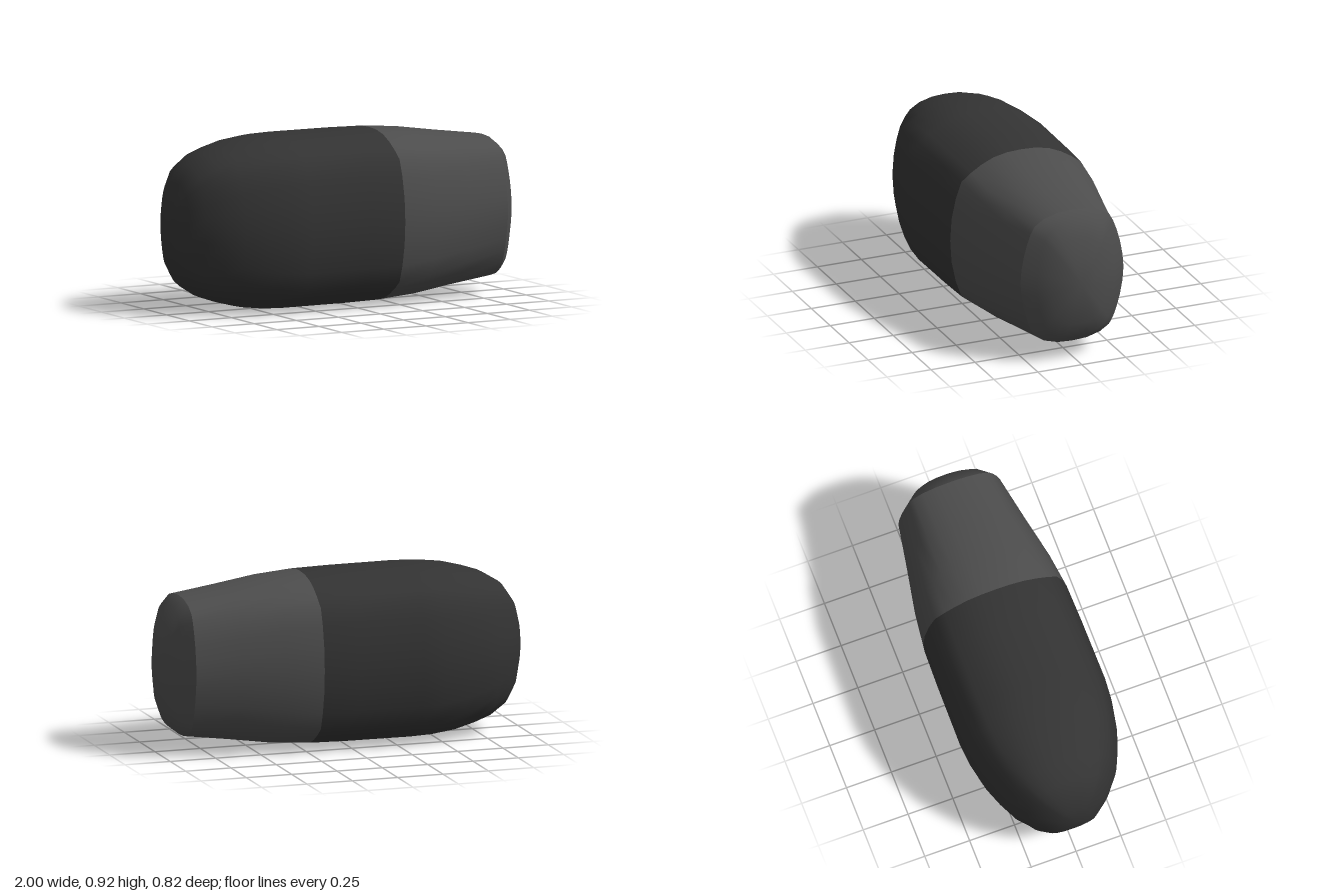
import * as THREE from 'three';

const SIDES = 32, CENTRE_Y = 0.462;

// Quarter outlines [z, y] from top to side, normalised to half sizes of 1
const FULL = [[0, 1], [0.2, 0.992], [0.39, 0.957], [0.56, 0.89], [0.705, 0.81],
  [0.84, 0.717], [0.92, 0.52], [0.98, 0.27], [1, 0]];
const END = [[0, 1], [0.28, 0.987], [0.54, 0.93], [0.72, 0.837], [0.8, 0.73],
  [0.87, 0.58], [0.93, 0.41], [0.98, 0.2], [1, 0]];

// Sections: [x, half height, half depth, blend from FULL to END outline]
const SHELL = [
  [-1, 0, 0, 1], [-0.987, 0.125, 0.085, 1], [-0.95, 0.24, 0.16, 1], [-0.89, 0.325, 0.23, 1],
  [-0.8, 0.38, 0.3, 0.7], [-0.71, 0.41, 0.34, 0.45], [-0.6, 0.438, 0.378, 0.25],
  [-0.47, 0.454, 0.403, 0.1], [-0.35, 0.458, 0.412, 0], [0, 0.457, 0.409, 0],
  [0.2, 0.453, 0.404, 0], [0.4, 0.437, 0.38, 0.25], [0.63, 0.403, 0.336, 0.6], [0.87, 0.371, 0.293, 1]];
const SPLIT = 10; // section where the body meets the sleeve
const CAP = [[0.87, 0.371, 0.293, 1], [0.925, 0.328, 0.224, 1], [0.963, 0.24, 0.16, 1],
  [0.99, 0.125, 0.085, 1], [1, 0, 0, 1]];

function ring([x, hy, hz, blend]) {
  const out = [];
  for (let k = 0; k < SIDES; k++) {
    const q = Math.floor(k / 8), m = k % 8, t = q % 2 ? 8 - m : m;
    const z = THREE.MathUtils.lerp(FULL[t][0], END[t][0], blend) * hz;
    const y = THREE.MathUtils.lerp(FULL[t][1], END[t][1], blend) * hy;
    out.push(x, CENTRE_Y + (q === 0 || q === 3 ? y : -y), q < 2 ? z : -z);
  }
  return out;
}

function ringIndex(count) {
  const index = [];
  for (let i = 0; i < count - 1; i++) {
    for (let j = 0; j < SIDES; j++) {
      const a = i * SIDES + j, b = i * SIDES + (j + 1) % SIDES;
      index.push(a, b, a + SIDES, b, b + SIDES, a + SIDES);
    }
  }
  return index;
}

// Skin the sections, with smooth normals that point straight out at a pole
function loft(sections) {
  const geo = new THREE.BufferGeometry();
  geo.setAttribute('position', new THREE.Float32BufferAttribute(sections.flatMap(ring), 3));
  geo.setIndex(ringIndex(sections.length));
  geo.computeVertexNormals();
  sections.forEach(([x, hy], i) => {
    if (hy > 0) return;
    for (let j = 0; j < SIDES; j++) geo.attributes.normal.setXYZ(i * SIDES + j, Math.sign(x), 0, 0);
  });
  return geo;
}

// Take a run of rings from a loft, keeping its normals continuous
function slice(geo, first, last) {
  const part = new THREE.BufferGeometry();
  for (const name of ['position', 'normal']) {
    const values = geo.attributes[name].array.slice(first * SIDES * 3, (last + 1) * SIDES * 3);
    part.setAttribute(name, new THREE.BufferAttribute(values, 3));
  }
  part.setIndex(ringIndex(last - first + 1));
  return part;
}

export function createModel() {
  const group = new THREE.Group();
  const dark = new THREE.MeshStandardMaterial({ color: 0x333333 });
  const grey = new THREE.MeshStandardMaterial({ color: 0x4d4d4d });
  const add = (name, geo, material) => {
    const mesh = new THREE.Mesh(geo, material);
    mesh.name = name;
    group.add(mesh);
  };

  // Rounded body and tapered sleeve share one continuous shell
  const shell = loft(SHELL);
  add('body', slice(shell, 0, SPLIT), dark);
  add('sleeve', slice(shell, SPLIT, SHELL.length - 1), grey);

  // Domed end cap with a crisp rim
  add('endCap', loft(CAP), grey);
  return group;
}
